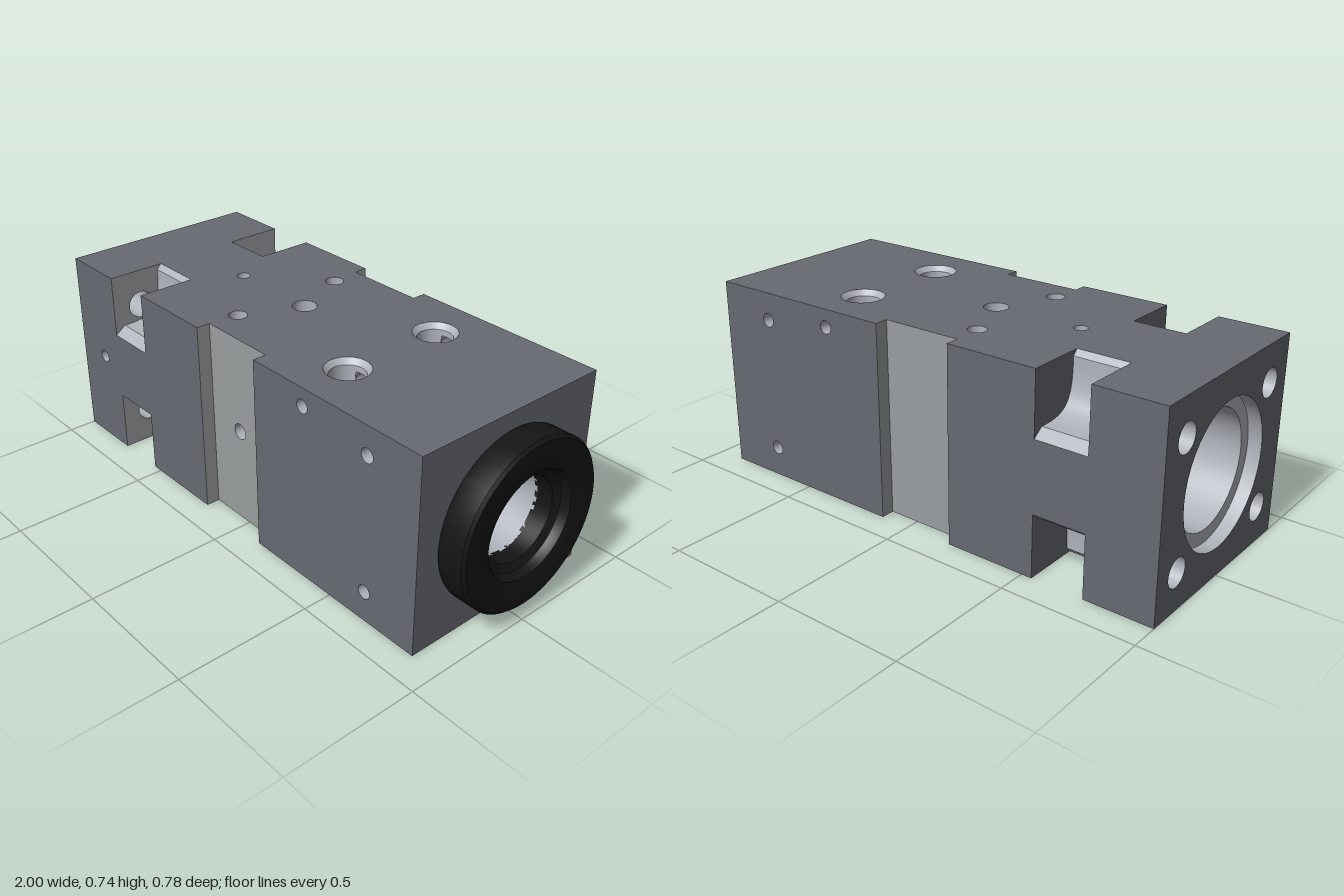
import * as THREE from 'three';
import { toCreasedNormals } from 'three/addons/utils/BufferGeometryUtils.js';

const X0 = -1, X1 = 0.89, H = 0.735, MID = H / 2, D = 0.392; // block limits
const R0 = -0.19, R1 = 0.12, RZ = 0.34;                       // side recess
const P0 = -0.74, P1 = -0.54, PY = 0.5, PZ = 0.17;            // corner pockets
const BOLT = { y: 0.595, z: 0.272, r: 0.052 };
const HALF = Math.PI / 2;

const mat = (color) => new THREE.MeshStandardMaterial({ color, side: THREE.DoubleSide });

export function createModel() {
  const model = new THREE.Group();
  const bodyMat = mat(0x676a72), recessMat = mat(0x9a9ea0), metalMat = mat(0xb0b4bc), blackMat = mat(0x151515);

  const add = (name, geo, material, parent = model) => {
    const mesh = new THREE.Mesh(geo, material);
    mesh.name = name;
    parent.add(mesh);
    return mesh;
  };

  // flat plate from outline points, with round holes given as [u, v, radius]
  const plate = (points, holes = []) => {
    const shape = new THREE.Shape(points.map(([u, v]) => new THREE.Vector2(u, v)));
    for (const [u, v, r] of holes) {
      const hole = new THREE.Path();
      hole.absarc(u, v, r, 0, Math.PI * 2, true);
      shape.holes.push(hole);
    }
    return new THREE.ShapeGeometry(shape, 20);
  };
  const rect = (a, b, c, d) => [[a, b], [c, b], [c, d], [a, d]];

  // open round wall along an axis, from a to b, centred on the other two coordinates
  const wall = (axis, r, a, b, x, y, z, start = 0, sweep = Math.PI * 2, rEnd = r) => {
    const geo = new THREE.CylinderGeometry(rEnd, r, Math.abs(b - a), 32, 1, true, start, sweep);
    if (axis === 'x') geo.rotateZ(-HALF);
    if (axis === 'z') geo.rotateX(HALF);
    const c = { x, y, z };
    c[axis] = (a + b) / 2;
    return geo.translate(c.x, c.y, c.z);
  };

  // blind hole: round wall with a floor disc at b
  const blind = (name, axis, r, a, b, x, y, z, floorMat) => {
    add(name, wall(axis, r, a, b, x, y, z), metalMat);
    const floor = add(name + 'Floor', new THREE.CircleGeometry(r, 24), floorMat);
    floor.position.set(x, y, z);
    floor.position[axis] = b;
    if (axis === 'y') floor.rotation.x = b > a ? HALF : -HALF;
    if (axis === 'z' && b > a) floor.rotation.y = Math.PI;
  };

  // top and bottom plates, notched by the pockets and the recesses
  const half = [[X0, D], [P0, D], [P0, PZ], [P1, PZ], [P1, D], [R0, D], [R0, RZ], [R1, RZ], [R1, D], [X1, D]];
  const deck = [...half, ...half.map(([x, z]) => [x, -z]).reverse()];
  const vertical = [-0.2, 0.2];
  const pins = [-0.225, 0.225];
  add('topPlate', plate(deck, [
    ...vertical.map((z) => [0.365, z, 0.08]), ...pins.map((z) => [-0.18, z, 0.034]),
    [-0.44, 0, 0.025], [-0.085, 0, 0.045],
  ]).rotateX(-HALF).translate(0, H, 0), bodyMat);
  add('bottomPlate', plate(deck, [
    ...vertical.map((z) => [0.365, z, 0.063]), ...pins.map((z) => [-0.18, z, 0.025]),
  ]).rotateX(HALF), bodyMat);

  // holes in the top and bottom
  for (const z of pins) {
    blind('topPinHole', 'y', 0.034, H, H - 0.14, -0.18, 0, z, blackMat);
    blind('bottomPinHole', 'y', 0.025, 0, 0.14, -0.18, 0, z, blackMat);
  }
  blind('topSmallHole', 'y', 0.025, H, H - 0.08, -0.44, 0, 0, metalMat);
  blind('topCentreHole', 'y', 0.045, H, H - 0.08, -0.085, 0, 0, metalMat);

  // front and back faces
  const cheek = [[X0, 0], [P0, 0], [P0, H - PY], [P1, H - PY], [P1, 0], [R0, 0],
    [R0, H], [P1, H], [P1, PY], [P0, PY], [P0, H], [X0, H]];
  const screws = [[0.665, 0.63, 0.026], [0.665, 0.115, 0.026]];
  const cross = [0.365, 0.668, 0.025];
  for (const s of [1, -1]) {
    const name = s > 0 ? 'front' : 'back';
    const flip = (list) => list.map(([x, ...rest]) => [x * s, ...rest]);
    const place = (geo, z) => geo.rotateY(s > 0 ? 0 : Math.PI).translate(0, 0, s * z);
    const front = s > 0;
    add(name + 'LeftFace', place(plate(flip(cheek), front ? [[-0.845, 0.37, 0.025]] : []), D), bodyMat);
    add(name + 'RightFace', place(plate(flip(rect(R1, 0, X1, H)), flip([...screws, cross])), D), bodyMat);
    add(name + 'Recess', place(plate(flip(rect(R0, 0, R1, H)), front ? [[-0.037, 0.37, 0.03]] : []), RZ), recessMat);
    for (const x of [R0, R1]) {
      const side = add(name + 'RecessSide', new THREE.PlaneGeometry(D - RZ, H), recessMat);
      side.position.set(x, MID, s * (D + RZ) / 2);
      side.rotation.y = x === R0 ? HALF : -HALF;
    }
    for (const [x, y, r] of screws) blind(name + 'ScrewHole', 'z', r, s * D, s * (D - 0.12), x, y, 0, blackMat);
  }
  blind('frontEndHole', 'z', 0.025, D, D - 0.06, -0.845, 0.37, 0, metalMat);
  blind('recessHole', 'z', 0.03, RZ, RZ - 0.06, -0.037, 0.37, 0, metalMat);

  // small cross hole, interrupted where it meets the two vertical holes
  for (const [a, b] of [[-D, -0.26], [-0.14, 0.14], [0.26, D]]) {
    add('crossHole', wall('z', cross[2], a, b, cross[0], cross[1], 0), metalMat);
  }

  // two vertical through holes, open to the cross hole and the main bore
  const gap = 0.4, bite = 0.78;
  for (const z of vertical) {
    const seg = (a, b, start, sweep) => add('verticalHole', wall('y', 0.063, a, b, 0.365, 0, z, start, sweep), metalMat);
    add('verticalHoleChamfer', wall('y', 0.063, 0.715, H, 0.365, 0, z, 0, Math.PI * 2, 0.08), metalMat);
    seg(0.693, 0.715);
    seg(0.643, 0.693, gap, Math.PI - 2 * gap);
    seg(0.643, 0.693, Math.PI + gap, Math.PI - 2 * gap);
    seg(MID + 0.075, 0.643);
    seg(MID - 0.075, MID + 0.075, (z > 0 ? Math.PI : 0) + bite, 2 * Math.PI - 2 * bite);
    seg(0, MID - 0.075);
  }

  // end faces
  const bolts = [];
  for (const sy of [1, -1]) for (const sz of [1, -1]) bolts.push([sz * BOLT.z, MID + sy * (BOLT.y - MID), BOLT.r]);
  add('mountingEnd', plate(rect(-D, 0, D, H), [[0, MID, 0.26], ...bolts]).rotateY(-HALF).translate(X0, 0, 0), bodyMat);
  add('collarEnd', plate(rect(-D, 0, D, H), [[0, MID, 0.155]]).rotateY(HALF).translate(X1, 0, 0), bodyMat);
  for (const [z, y, r] of bolts) add('boltHole', wall('x', r, X0, P0, 0, y, z), metalMat);

  // stepped main bore and black collar, turned about the long axis
  const turned = (profile) => {
    const geo = new THREE.LatheGeometry(profile.map(([r, x]) => new THREE.Vector2(r, x)), 72);
    return toCreasedNormals(geo, 0.6).rotateZ(-HALF).translate(0, MID, 0);
  };
  add('mainBore', turned([[0.26, X0], [0.26, -0.95], [0.21, -0.95], [0.21, 0], [0.155, 0.03], [0.155, X1]]), metalMat);
  add('collar', turned([[0.155, 0.88], [0.3, 0.88], [0.3, 0.895], [0.308, 0.895], [0.31, 0.9], [0.31, 0.99],
    [0.3, 1], [0.21, 1], [0.195, 0.994], [0.186, 0.98], [0.18, 0.965], [0.155, 0.95], [0.155, 0.88]]), blackMat);

  // four corner pockets with a hollow curved floor
  const curve = new THREE.CubicBezierCurve(new THREE.Vector2(0.352, 0.53), new THREE.Vector2(0.22, 0.525),
    new THREE.Vector2(0.185, 0.56), new THREE.Vector2(0.188, 0.715));
  const profile = [[D, PY], ...curve.getPoints(14).map((p) => [p.x, p.y]), [PZ, H]];
  const floorGeo = () => {
    const geo = new THREE.PlaneGeometry(P1 - P0, 1, 1, profile.length - 1);
    const pos = geo.attributes.position;
    for (let i = 0; i < pos.count; i++) {
      const [z, y] = profile[i >> 1];
      pos.setXYZ(i, pos.getX(i) + (P0 + P1) / 2, y - MID, z);
    }
    geo.computeVertexNormals();
    return toCreasedNormals(geo, 0.45);
  };
  const outline = [[D, H], ...profile].map(([z, y]) => [z, y - MID]);
  for (const sy of [1, -1]) for (const sz of [1, -1]) {
    const pocket = new THREE.Group();
    pocket.name = 'cornerPocket';
    pocket.position.y = MID;
    pocket.scale.set(1, sy, sz);
    add('pocketFloor', floorGeo(), metalMat, pocket);
    add('pocketBoltWall', plate(outline, [[BOLT.z, BOLT.y - MID, BOLT.r]]).rotateY(-HALF).translate(P0, 0, 0), recessMat, pocket);
    add('pocketPlainWall', plate(outline).rotateY(-HALF).translate(P1, 0, 0), bodyMat, pocket);
    model.add(pocket);
  }

  // centre along the long axis
  model.updateMatrixWorld(true);
  const box = new THREE.Box3().setFromObject(model);
  model.position.x = -(box.min.x + box.max.x) / 2;
  return model;
}
